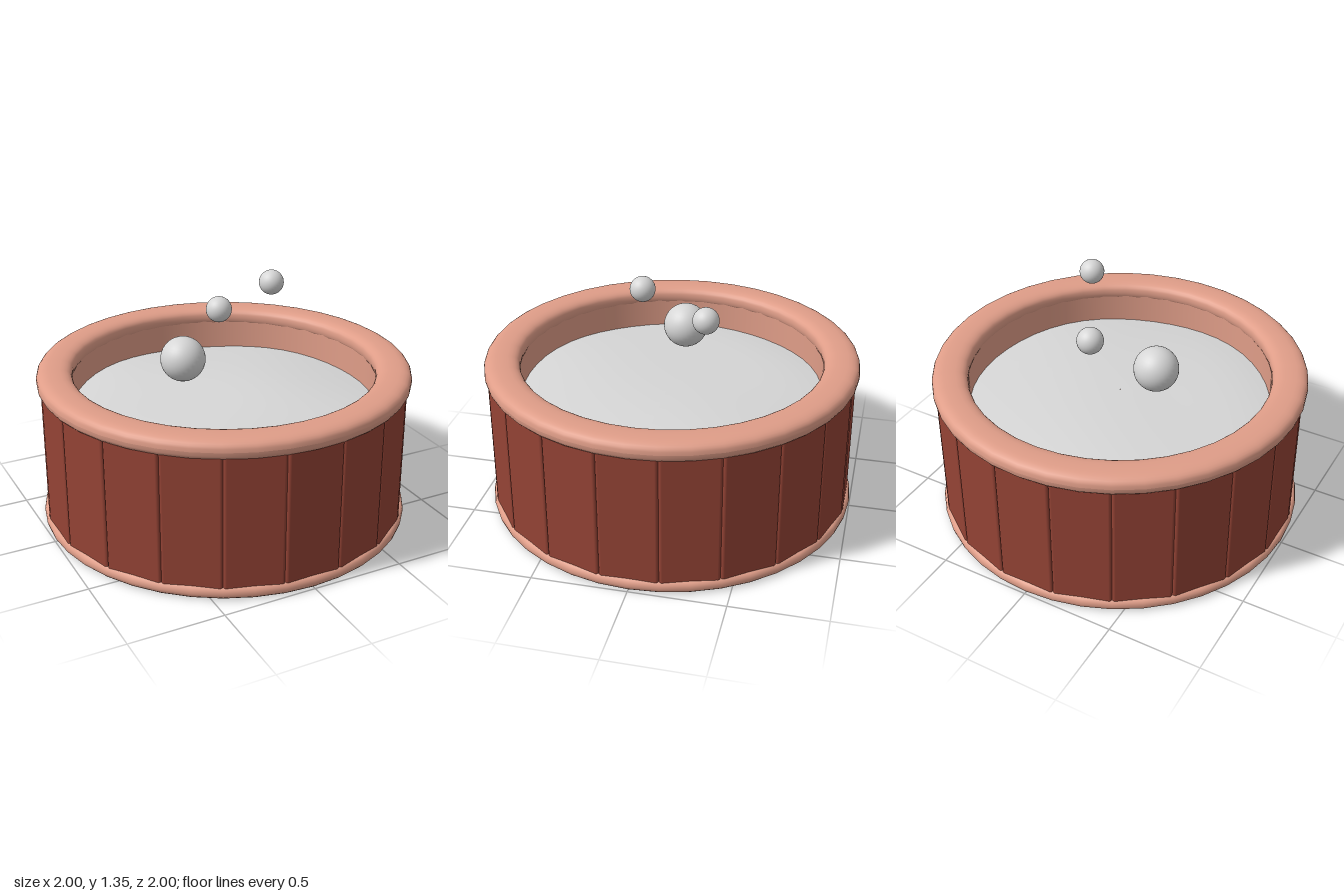
import * as THREE from 'three';
import { RoundedBoxGeometry } from 'three/addons/geometries/RoundedBoxGeometry.js';

const mat = (name, color, side = THREE.FrontSide) => {
  const m = new THREE.MeshStandardMaterial({ color, side });
  m.name = name;
  return m;
};

// Closed ring with a softly squared cross-section
function ringGeometry(inner, outer, bottom, top, power) {
  const rx = (outer - inner) / 2, ry = (top - bottom) / 2;
  const soft = (v) => Math.sign(v) * Math.abs(v) ** power;
  const points = [];
  for (let i = 0; i <= 28; i++) {
    const a = (i / 28) * Math.PI * 2;
    points.push(new THREE.Vector2((inner + outer) / 2 + rx * soft(Math.cos(a)), (bottom + top) / 2 + ry * soft(Math.sin(a))));
  }
  return new THREE.LatheGeometry(points, 40);
}

export function createModel() {
  const model = new THREE.Group();
  const trim = mat('pale wood', 0xdf9d88, THREE.DoubleSide);
  const wood = mat('red wood', 0x944335);
  const water = mat('water grey', 0xd6d6d6);
  const add = (name, geometry, material, parent = model) => {
    const mesh = new THREE.Mesh(geometry, material);
    mesh.name = name;
    parent.add(mesh);
    return mesh;
  };

  // Thick padded rim and the inner wall below it
  add('rim', ringGeometry(0.81, 1, 0.75, 0.86, 0.75), trim);
  add('innerWall', new THREE.CylinderGeometry(0.815, 0.815, 0.74, 48, 1, true).translate(0, 0.43, 0), trim);

  // Solid base disc with a rounded edge
  const base = [[0, 0.005], [0.97, 0.005], [0.986, 0.01], [0.996, 0.02], [1, 0.037], [0.996, 0.054], [0.986, 0.065], [0.97, 0.07], [0, 0.07]];
  add('base', new THREE.LatheGeometry(base.map(([x, y]) => new THREE.Vector2(x, y)), 40), trim);

  // Twenty upright staves
  const staves = new THREE.Group();
  staves.name = 'staves';
  model.add(staves);
  const staveGeometry = new RoundedBoxGeometry(0.306, 0.74, 0.1, 3, 0.016).translate(0, 0.41, 0.926);
  for (let i = 0; i < 20; i++) {
    add('stave', staveGeometry, wood, staves).rotation.y = (i * Math.PI) / 10;
  }

  // Gently swelling water surface
  const surface = new THREE.RingGeometry(0.001, 0.815, 48, 14).rotateX(-Math.PI / 2);
  const pos = surface.attributes.position;
  for (let i = 0; i < pos.count; i++) {
    const x = pos.getX(i), z = pos.getZ(i), r = Math.hypot(x, z) / 0.815;
    pos.setY(i, 0.67 - 0.045 * r ** 3 + 0.008 * Math.sin(x * 5 + 0.5) * Math.cos(z * 4));
  }
  surface.computeVertexNormals();
  add('water', surface, water);

  // Floating bubbles
  for (const [x, y, z, r] of [[-0.23, 0.9, -0.025, 0.12], [0.067, 1.075, -0.195, 0.071], [0.226, 1.293, 0.1, 0.065]]) {
    add('bubble', new THREE.SphereGeometry(r, 32, 20), water).position.set(x, y, z);
  }
  return model;
}
